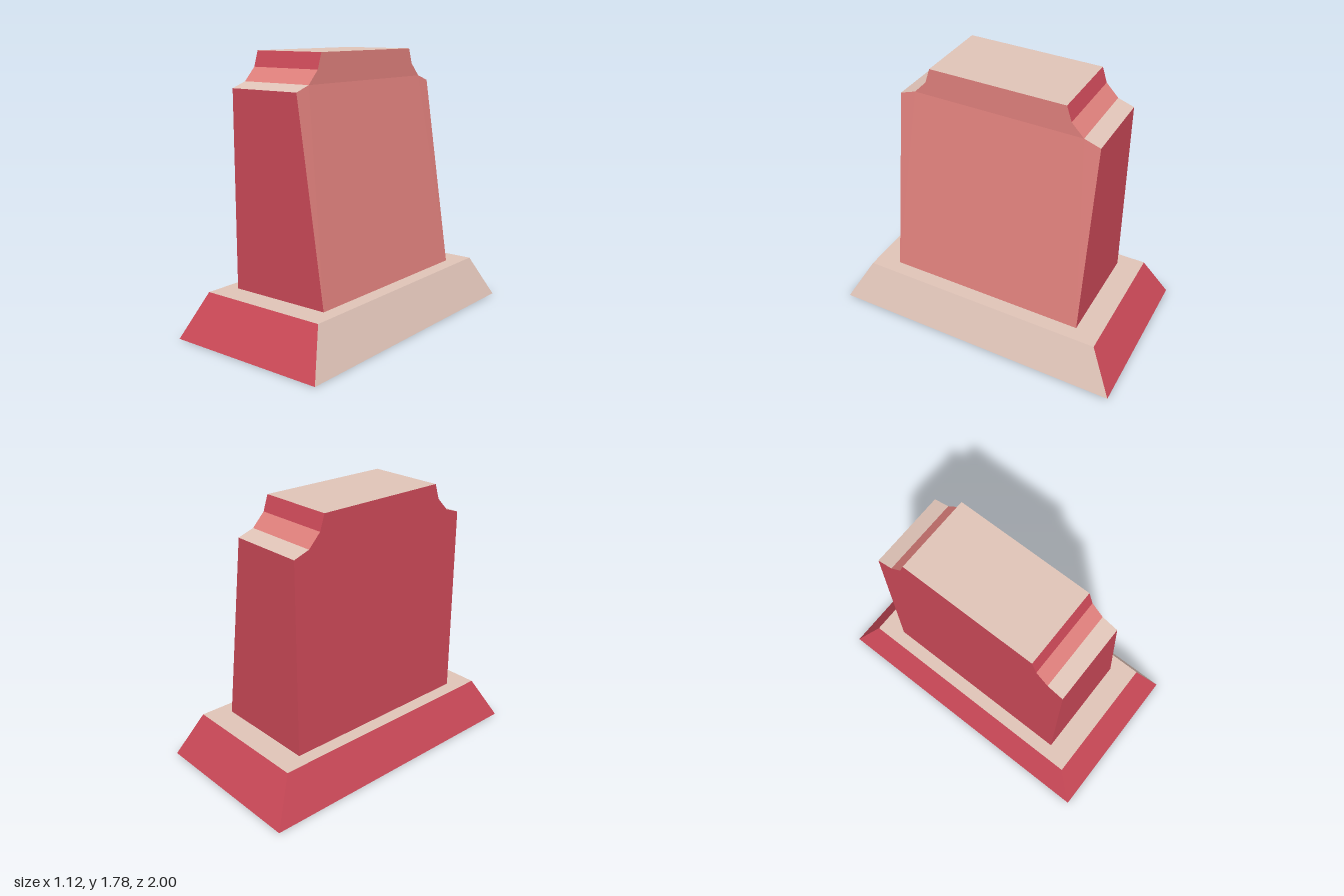
import * as THREE from 'three';

const material = (name, color) => {
  const m = new THREE.MeshStandardMaterial({ color });
  m.name = name;
  return m;
};

// Flat convex panels, each turned to face away from the centre of its block
function panelMesh(name, mat, panels, centre) {
  const pos = [];
  for (const panel of panels) {
    const p = panel.map((c) => new THREE.Vector3(...c));
    for (let i = 1; i < p.length - 1; i++) {
      const tri = new THREE.Triangle(p[0], p[i], p[i + 1]);
      const out = tri.getNormal(new THREE.Vector3()).dot(p[0].clone().sub(centre)) > 0;
      for (const v of out ? [tri.a, tri.b, tri.c] : [tri.a, tri.c, tri.b]) pos.push(v.x, v.y, v.z);
    }
  }
  const geo = new THREE.BufferGeometry();
  geo.setAttribute('position', new THREE.Float32BufferAttribute(pos, 3));
  geo.computeVertexNormals();
  const mesh = new THREE.Mesh(geo, mat);
  mesh.name = name;
  return mesh;
}

export function createModel() {
  const crimson = material('crimson', 0xcc4958);
  const salmon = material('salmon', 0xdf807c);
  const cream = material('cream', 0xdfc3b7);

  const group = new THREE.Group();
  group.name = 'monument';

  // Plinth: a truncated pyramid
  const baseTop = 0.288;
  const ring = (x, y, z) => [[x, y, z], [x, y, -z], [-x, y, -z], [-x, y, z]];
  const low = ring(0.558, 0, 1);
  const high = ring(0.448, baseTop, 0.84);
  const sides = low.map((p, i) => [p, low[(i + 1) % 4], high[(i + 1) % 4], high[i]]);
  const baseCentre = new THREE.Vector3(0, 0.1, 0);
  group.add(
    panelMesh('plinthRight', cream, [sides[0]], baseCentre),
    panelMesh('plinthSides', crimson, sides.slice(1), baseCentre),
    panelMesh('plinthTop', cream, [high], baseCentre),
    panelMesh('plinthUnderside', crimson, [low], baseCentre),
  );

  // Stone: half profile as [half depth, height], stepped in at the shoulders
  const profile = [[0.677, baseTop], [0.677, 1.556], [0.57, 1.592], [0.488, 1.677], [0.455, 1.777]];
  const back = -0.357;
  const front = (i) => (i === 0 ? 0.352 : 0.16); // the face leans back from the foot
  const left = (i, s) => [back, profile[i][1], s * profile[i][0]];
  const right = (i, s) => [front(i), profile[i][1], s * profile[i][0]];
  const stoneCentre = new THREE.Vector3(-0.1, 0.8, 0);

  // End walls and shoulder steps, mirrored front to back
  const steps = [['endWalls', crimson], ['lowerShoulders', cream], ['middleShoulders', salmon], ['upperShoulders', crimson]];
  steps.forEach(([name, mat], i) => {
    const panels = [1, -1].map((s) => [left(i, s), right(i, s), right(i + 1, s), left(i + 1, s)]);
    group.add(panelMesh(name, mat, panels, stoneCentre));
  });
  group.add(panelMesh('stoneTop', cream, [[left(4, 1), right(4, 1), right(4, -1), left(4, -1)]], stoneCentre));

  // Broad faces: large panel, two corner slivers and the stepped crown
  const broad = (at) => [
    [at(0, 1), at(0, -1), at(2, -1), at(2, 1)],
    ...[1, -1].map((s) => [at(0, s), at(1, s), at(2, s)]),
    ...[2, 3].map((i) => [at(i, 1), at(i, -1), at(i + 1, -1), at(i + 1, 1)]),
  ];
  group.add(
    panelMesh('slopedFace', salmon, broad(right), stoneCentre),
    panelMesh('uprightFace', crimson, broad(left), stoneCentre),
  );
  return group;
}
